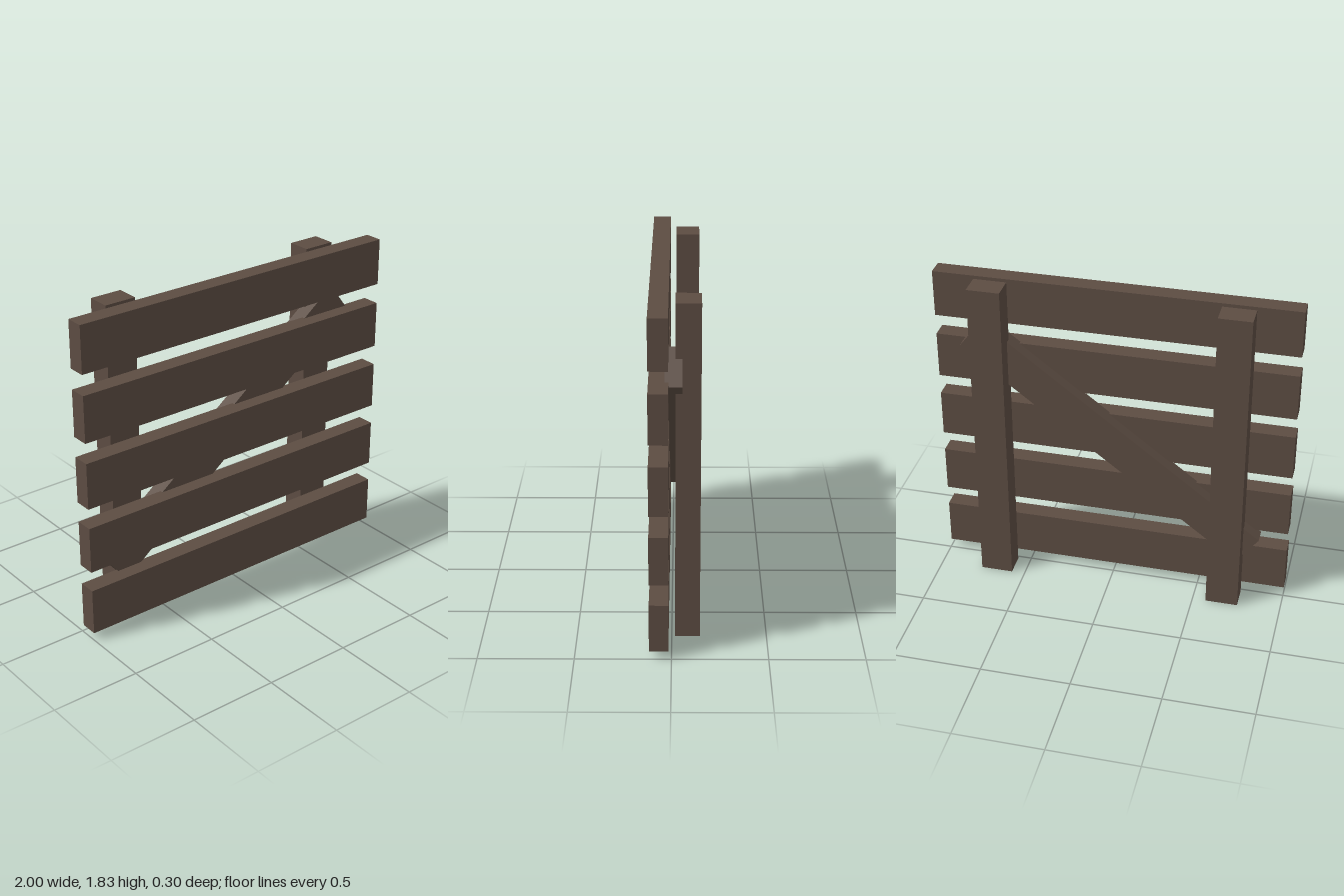
import * as THREE from 'three';

export function createModel() {
  const group = new THREE.Group();
  const wood = new THREE.MeshStandardMaterial({ color: 0x5c4c42 });
  wood.name = 'dark brown wood';

  function add(name, geometry, x, y, z) {
    const mesh = new THREE.Mesh(geometry, wood);
    mesh.name = name;
    mesh.position.set(x, y, z);
    group.add(mesh);
    return mesh;
  }

  // Five horizontal planks across the front
  const plankGeometry = new THREE.BoxGeometry(2, 0.265, 0.1);
  for (let i = 0; i < 5; i++) {
    add(`plank${i + 1}`, plankGeometry, 0, 0.178 + i * 0.3805, 0.066);
  }

  // Upright posts behind, with nail heads in front of every other plank
  const postGeometry = new THREE.BoxGeometry(0.182, 1.832, 0.13);
  const nailGeometry = new THREE.PlaneGeometry(0.028, 0.031);
  for (const [side, s] of [['left', 1], ['right', -1]]) {
    add(`${side}Post`, postGeometry, s * 0.667, 0.916, -0.083);
    for (let i = 0; i < 3; i++) {
      add(`${side}NailHead${i + 1}`, nailGeometry, s * 0.667, 0.178 + i * 0.761, 0.148);
    }
  }

  // Diagonal brace, let into the planks and posts
  const brace = add('brace', new THREE.BoxGeometry(1.97, 0.21, 0.087), 0, 0.918, -0.0095);
  brace.rotation.z = Math.atan(0.763);

  return group;
}
